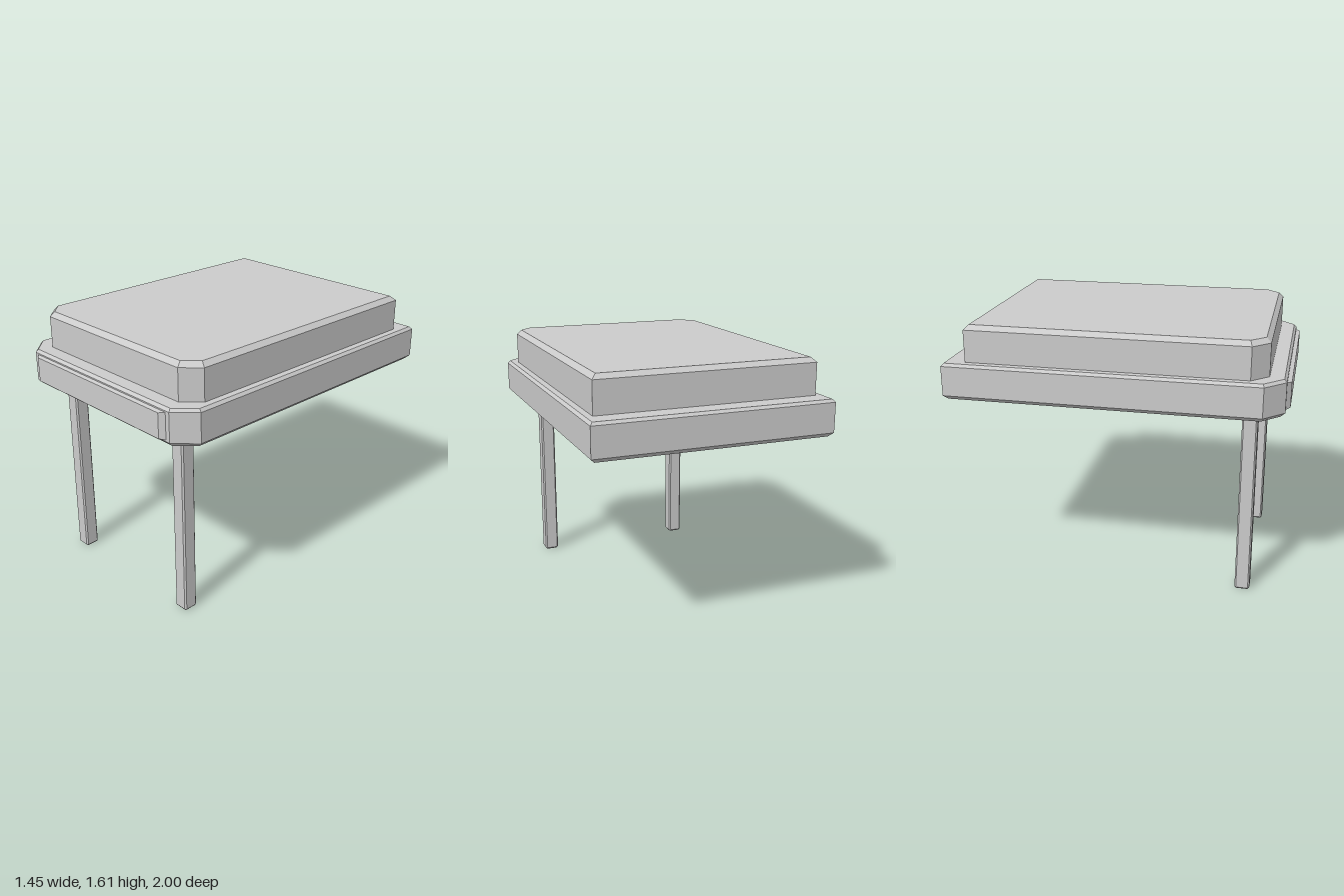
import * as THREE from 'three';

const material = new THREE.MeshStandardMaterial({ color: 0xcccccc, flatShading: true });

// Rectangle with cut corners, counter-clockwise from above, shrunk evenly by inset
function outline({ halfX, back, front, frontCut = 0, backCut = 0 }, inset) {
  const x = halfX - inset, b = back + inset, f = front - inset;
  const shrink = (2 - Math.SQRT2) * inset;
  const cf = Math.max(frontCut - shrink, 0), cb = Math.max(backCut - shrink, 0);
  return [
    [-x + cf, f], [x - cf, f], [x, f - cf], [x, b + cb],
    [x - cb, b], [-x + cb, b], [-x, b + cb], [-x, f - cf],
  ];
}

// Closed solid through stacked outlines; each level is [height, inset]
function loft(shape, levels) {
  const rings = levels.map(([y, inset]) => outline(shape, inset).map(([x, z]) => new THREE.Vector3(x, y, z)));
  const points = [];
  const triangle = (a, b, c) => {
    const area = b.clone().sub(a).cross(c.clone().sub(a)).length();
    if (area > 1e-9) points.push(a, b, c);
  };
  const n = rings[0].length, top = rings[rings.length - 1], bottom = rings[0];
  for (let r = 0; r < rings.length - 1; r++) {
    for (let i = 0; i < n; i++) {
      const j = (i + 1) % n, low = rings[r], high = rings[r + 1];
      triangle(low[i], low[j], high[j]);
      triangle(low[i], high[j], high[i]);
    }
  }
  for (let i = 1; i < n - 1; i++) {
    triangle(top[0], top[i], top[i + 1]);
    triangle(bottom[0], bottom[i + 1], bottom[i]);
  }
  const geometry = new THREE.BufferGeometry().setFromPoints(points);
  geometry.computeVertexNormals();
  return geometry;
}

export function createModel() {
  const model = new THREE.Group();
  const add = (name, geometry) => {
    const mesh = new THREE.Mesh(geometry, material);
    mesh.name = name;
    model.add(mesh);
    return mesh;
  };

  // Wide base slab with bevelled rims and cut front corners
  add('baseSlab', loft(
    { halfX: 0.725, back: -1, front: 0.975, frontCut: 0.117 },
    [[1.17, 0.025], [1.195, 0], [1.373, 0], [1.39, 0.015]],
  ));

  // Smaller upper slab
  add('upperSlab', loft(
    { halfX: 0.67, back: -0.87, front: 0.877, frontCut: 0.097 },
    [[1.38, 0], [1.582, 0], [1.61, 0.028]],
  ));

  // Raised panel on the front edge, lofted upward then turned to face forward
  const panel = loft(
    { halfX: 0.58, back: -1.365, front: -1.205 },
    [[0.965, 0], [0.975, 0], [1, 0.005]],
  );
  panel.rotateX(Math.PI / 2);
  // Steeper bevel at the two ends of the panel
  const p = panel.attributes.position;
  for (let i = 0; i < p.count; i++) {
    if (p.getZ(i) > 0.99) p.setX(i, Math.sign(p.getX(i)) * 0.55);
  }
  panel.computeVertexNormals();
  add('frontPanel', panel);

  // Two slim front legs with chamfered edges
  for (const [side, name] of [[1, 'leftLeg'], [-1, 'rightLeg']]) {
    const leg = add(name, loft(
      { halfX: 0.045, back: -0.045, front: 0.045, frontCut: 0.009, backCut: 0.009 },
      [[0, 0.008], [0.01, 0], [1.18, 0]],
    ));
    leg.position.set(side * 0.488, 0, 0.778);
  }

  return model;
}
